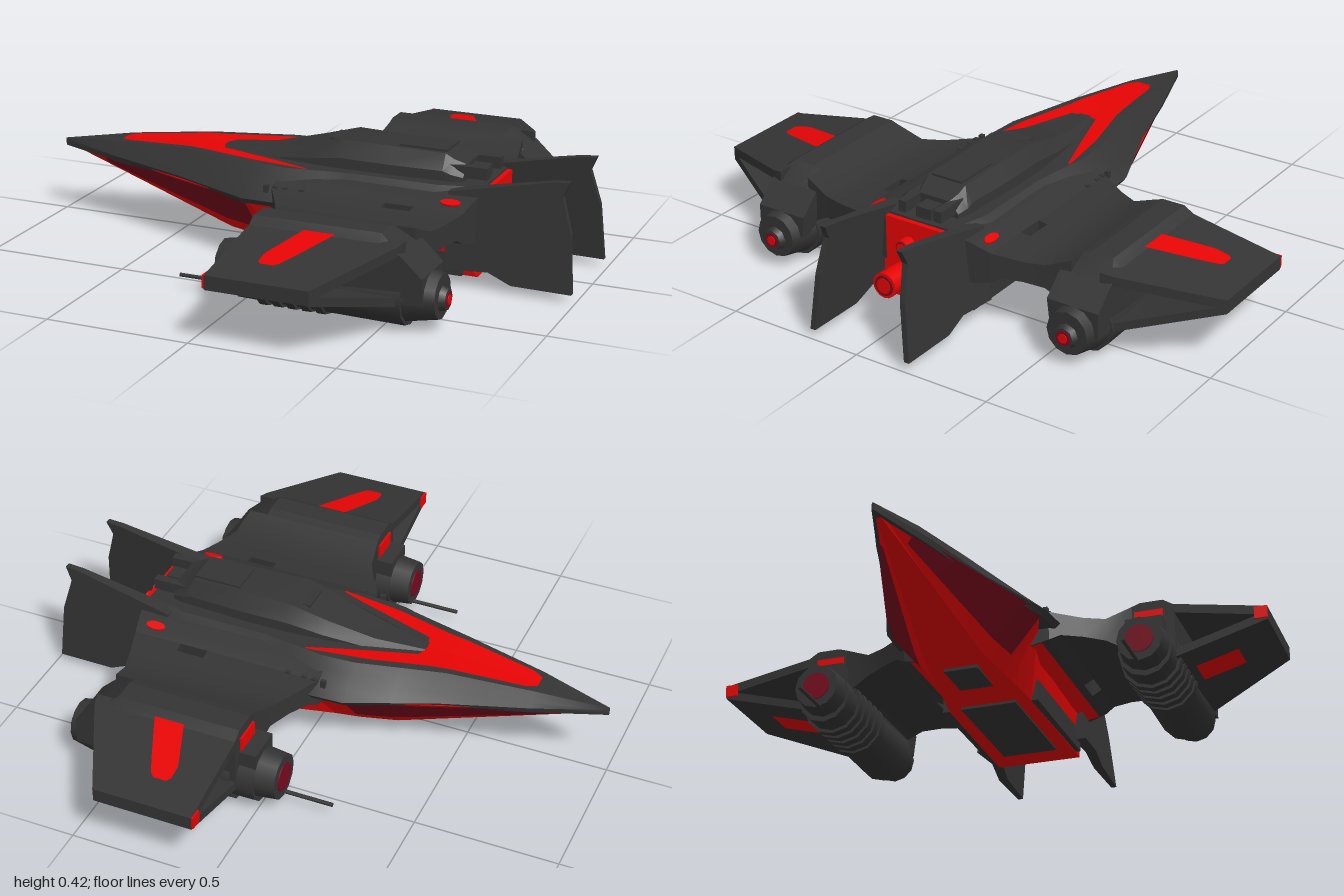
import * as THREE from 'three';
import { toCreasedNormals } from 'three/addons/utils/BufferGeometryUtils.js';

const flat = (name, color) => new THREE.MeshStandardMaterial({ name, color, side: THREE.DoubleSide });

export function createModel() {
  const model = new THREE.Group();
  const grey = flat('charcoal', 0x343434), red = flat('red', 0xff0505), maroon = flat('maroon', 0x780a1e);

  const add = (name, geo, mat) => {
    const mesh = new THREE.Mesh(geo, mat);
    mesh.name = name;
    model.add(mesh);
  };

  // piecewise linear lookup in [[x, value], ...]
  const lerpTable = (t, x) => {
    let i = 0;
    while (i < t.length - 2 && x > t[i + 1][0]) i++;
    const k = THREE.MathUtils.clamp((x - t[i][0]) / (t[i + 1][0] - t[i][0]), 0, 1);
    return t[i][1] + k * (t[i + 1][1] - t[i][1]);
  };

  // closed solid through rings of [x, y, z]; flips itself if inside out
  const loft = (rings, crease = 0.5) => {
    const tris = [], n = rings[0].length, last = rings[rings.length - 1];
    for (let i = 0; i < rings.length - 1; i++) for (let j = 0; j < n; j++) {
      const k = (j + 1) % n, a = rings[i], b = rings[i + 1];
      tris.push([a[j], b[j], b[k]], [a[j], b[k], a[k]]);
    }
    for (const [ring, end] of [[rings[0], false], [last, true]]) {
      const mid = [0, 1, 2].map(c => ring.reduce((s, p) => s + p[c], 0) / n);
      for (let j = 0; j < n; j++) {
        const p = ring[j], q = ring[(j + 1) % n];
        tris.push(end ? [p, q, mid] : [mid, q, p]);
      }
    }
    let vol = 0;
    const v = tris.map(t => t.map(p => new THREE.Vector3(...p)));
    for (const [a, b, c] of v) vol += a.dot(b.clone().cross(c));
    const pos = v.flatMap(t => (vol < 0 ? [t[0], t[2], t[1]] : t));
    return toCreasedNormals(new THREE.BufferGeometry().setFromPoints(pos), crease);
  };

  // open painted surface on side s from a rule (u, v) -> [x, y, z]
  const sided = (s, fn, nu = 1, nv = 1) => {
    const geo = new THREE.PlaneGeometry(1, 1, nu, nv), p = geo.attributes.position;
    for (let i = 0; i < p.count; i++) {
      const [x, y, z] = fn(0.5 + s * p.getX(i), 0.5 - p.getY(i));
      p.setXYZ(i, x, y, s * z);
    }
    geo.computeVertexNormals();
    return geo;
  };

  // cylinder along x
  const rod = (name, r0, r1, x0, x1, y, z, mat, sides = 16) => {
    const geo = new THREE.CylinderGeometry(r1, r0, x1 - x0, sides).rotateZ(-Math.PI / 2);
    add(name, geo.translate((x0 + x1) / 2, y, z), mat);
  };
  const box = (name, x0, x1, y0, y1, z0, z1, mat) => add(name,
    new THREE.BoxGeometry(x1 - x0, y1 - y0, Math.abs(z1 - z0))
      .translate((x0 + x1) / 2, (y0 + y1) / 2, (z0 + z1) / 2), mat);

  // spanwise slab: stations [z, front x, rear x, bottom y, top y]
  const slab = (name, s, stations) => add(name, loft(stations.map(([z, a, b, lo, hi]) =>
    [[a, lo, s * z], [a, hi, s * z], [b, hi, s * z], [b, lo, s * z]])), grey);

  // upper hull: nearly flat top between two ridges, sloping to the chine
  const width = [[-0.99, 0.004], [-0.74, 0.09], [-0.45, 0.175], [-0.15, 0.29], [-0.03, 0.3],
    [0.1, 0.27], [0.2, 0.25], [0.5, 0.25], [0.65, 0.19]];
  const crown = [[-0.99, 0.272], [-0.74, 0.306], [-0.45, 0.33], [-0.15, 0.333], [0.65, 0.333]];
  const chine = [[-0.99, 0.266], [-0.45, 0.248], [-0.15, 0.24], [0.2, 0.25], [0.65, 0.27]];
  const section = [[0, 0.96], [0.625, 1], [1, 0]];
  const deckY = (x, z) => {
    const e = lerpTable(chine, x);
    return e + (lerpTable(crown, x) - e) * lerpTable(section, Math.abs(z) / lerpTable(width, x));
  };
  add('upperHull', loft([-0.99, -0.86, -0.74, -0.6, -0.45, -0.3, -0.15, -0.03, 0.1, 0.2, 0.5, 0.65].map(x => {
    const w = lerpTable(width, x), e = lerpTable(chine, x), ring = [];
    for (let i = -8; i <= 8; i++) ring.push([x, deckY(x, w * i / 8), w * i / 8]);
    return [...ring, [x, e - 0.02, w * 0.95], [x, e - 0.02, -w * 0.95]];
  }), 0.6), grey);

  // lower hull: [x, top half width, top y, bottom half width, bottom y]
  const belly = [[-0.97, 0.008, 0.262, 0.004, 0.252], [-0.65, 0.11, 0.245, 0.05, 0.165],
    [-0.28, 0.235, 0.236, 0.1, 0.062], [-0.15, 0.27, 0.23, 0.12, 0.05],
    [-0.06, 0.23, 0.22, 0.13, 0.045], [0.1, 0.2, 0.22, 0.15, 0.032], [0.5, 0.19, 0.22, 0.155, 0.03],
    [0.65, 0.135, 0.325, 0.155, 0.03]];
  add('lowerHull', loft(belly.map(([x, wt, yt, wb, yb]) =>
    [[x, yt, wt], [x, yb, wb], [x, yb, -wb], [x, yt, -wt]]), 0.2), red);
  const col = (x, c) => lerpTable(belly.map(r => [r[0], r[c]]), x);
  box('bellyPlate', 0.08, 0.54, 0.024, 0.05, -0.1, 0.1, grey);
  box('bellyFrontPlate', -0.2, 0.0, 0.043, 0.06, -0.06, 0.06, grey);

  // dorsal spine: [x, base half width, top half width, top y]
  add('spine', loft([[-0.34, 0.04, 0.02, 0.333], [-0.17, 0.085, 0.05, 0.348], [0.0, 0.11, 0.07, 0.388],
    [0.13, 0.12, 0.08, 0.423], [0.3, 0.12, 0.075, 0.42], [0.5, 0.11, 0.075, 0.418], [0.53, 0.11, 0.07, 0.4],
    [0.57, 0.1, 0.06, 0.385]].map(([x, b, t, y]) => [[x, 0.3, b], [x, 0.3 + (y - 0.3) * 0.55, b * 0.95],
    [x, y, t], [x, y, -t], [x, 0.3 + (y - 0.3) * 0.55, -b * 0.95], [x, 0.3, -b]]), 0.3), grey);
  box('spineHatch', 0.33, 0.5, 0.38, 0.426, -0.06, 0.06, grey);
  box('spineSeam', 0.07, 0.1, 0.4, 0.415, -0.05, 0.05, grey);
  box('rearBulkhead', 0.62, 0.668, 0.06, 0.325, -0.125, 0.125, red);
  box('tailBeam', 0.55, 0.63, 0.33, 0.37, -0.03, 0.03, grey);

  for (const s of [1, -1]) {
    // painted hull markings
    add('chevron', sided(s, (u, v) => {
      const x = -0.745 + 0.78 * u;
      const outer = lerpTable([[-0.745, 0.025], [-0.71, 0.045], [-0.39, 0.096], [-0.18, 0.148], [0.035, 0.178]], x);
      const inner = lerpTable([[-0.34, 0], [-0.33, 0.05], [-0.18, 0.098], [-0.08, 0.13], [0.035, 0.17]], x);
      const z = inner + (outer - inner) * v;
      return [x, deckY(x, z) + 0.002, z];
    }, 60, 6), red);
    add('sidePanel', sided(s, (u, v) => {
      const x = -0.8 + 0.65 * u, k = v * 0.74;
      const z = col(x, 1) + (col(x, 3) - col(x, 1)) * k + 0.004;
      return [x, col(x, 2) + (col(x, 4) - col(x, 2)) * k - 0.002, z];
    }, 20, 2), maroon);
    add('deckSpot', new THREE.CylinderGeometry(0.016, 0.016, 0.009, 16).scale(2.2, 1, 1)
      .rotateX(s * 0.37).translate(0.575, 0.301, s * 0.227), red);
    for (const x of [-0.08, -0.045, -0.01, 0.05]) box('vent', x, x + 0.018, 0.26, 0.29, s * 0.255, s * 0.27, grey);
    box('lowerSidePlate', 0.1, 0.6, 0.032, 0.11, s * 0.13, s * 0.174, grey);

    // inner wing, with a slot through the root
    slab('wingRoot', s, [[0.13, -0.06, 0.66, 0.16, 0.328], [0.2, -0.055, 0.65, 0.165, 0.31], [0.265, -0.05, 0.635, 0.18, 0.285]]);
    slab('wingSlotFront', s, [[0.265, -0.05, 0.36, 0.18, 0.285], [0.3, -0.03, 0.36, 0.2, 0.28]]);
    slab('wingSlotRear', s, [[0.265, 0.46, 0.635, 0.18, 0.285], [0.3, 0.46, 0.625, 0.2, 0.28]]);
    slab('innerWing', s, [[0.3, -0.03, 0.625, 0.2, 0.28], [0.37, 0.01, 0.605, 0.2, 0.272],
      [0.44, 0.045, 0.585, 0.19, 0.272], [0.53, 0.06, 0.57, 0.14, 0.31]]);
    add('wingRootUnderside', sided(s, (u, v) => [-0.05 + 0.68 * u, 0.171 - 0.014 * v, 0.24 - 0.09 * v]), red);

    // outer wing: two thin panels meeting at the tip
    slab('upperWingPanel', s, [[0.64, 0.06, 0.58, 0.27, 0.305], [0.68, 0.06, 0.57, 0.265, 0.297], [1, 0.06, 0.41, 0.205, 0.238]]);
    slab('lowerWingPanel', s, [[0.64, 0.06, 0.58, 0.09, 0.125], [0.68, 0.06, 0.57, 0.1, 0.13], [1, 0.06, 0.41, 0.19, 0.22]]);
    add('upperWingStripe', sided(s, (u, v) => {
      const z = 0.665 + 0.23 * v;
      const a = lerpTable([[0.665, 0.248], [0.83, 0.188], [0.88, 0.188], [0.895, 0.2]], z);
      const b = lerpTable([[0.665, 0.355], [0.83, 0.284], [0.88, 0.26], [0.895, 0.245]], z);
      return [a + (b - a) * u, 0.301 - (z - 0.68) * 0.184, z];
    }, 1, 16), red);
    add('lowerWingStripe', sided(s, (u, v) => {
      const z = 0.87 - 0.15 * v;
      return [0.175 + 0.12 * u, 0.1 + (z - 0.68) * 0.281 - 0.004, z];
    }), red);
    box('wingTipLight', 0.053, 0.06, 0.195, 0.238, s * 0.955, s * 1, red);

    // nacelle and its cowl
    const z = s * 0.587, y = 0.113;
    rod('nacelleBody', 0.095, 0.103, 0.0, 0.58, y, z, grey, 12);
    rod('nacelleIntake', 0.08, 0.088, -0.07, 0.0, 0.125, z, grey, 12);
    rod('intakeDisc', 0.05, 0.05, -0.074, -0.06, 0.125, z, maroon);
    rod('nacelleTail', 0.1, 0.075, 0.56, 0.685, 0.12, z, grey, 12);
    rod('nacelleExhaust', 0.045, 0.035, 0.68, 0.705, 0.113, z, grey, 8);
    rod('exhaustRing', 0.028, 0.028, 0.7, 0.707, 0.113, z, maroon, 8);
    rod('exhaustGlow', 0.017, 0.017, 0.7, 0.71, 0.113, z, red, 8);
    rod('gunBarrel', 0.007, 0.007, -0.24, 0.02, 0.05, z + s * -0.012, grey, 8);
    const outline = [[0.5, 0.12], [0.49, 0.2], [0.49, 0.28], [0.53, 0.31], [0.56, 0.32], [0.64, 0.32], [0.68, 0.295], [0.68, 0.11]];
    add('nacelleCowl', loft([[0.06, 0.32], [0.5, 0.32], [0.575, 0.27], [0.65, 0.2]].map(([x, cap]) =>
      outline.map(([pz, py]) => [x, Math.min(py, cap), s * pz])), 0.3), grey);
    box('cowlFairing', 0.0, 0.07, 0.14, 0.235, s * 0.52, s * 0.65, grey);
    box('cowlFrontPanel', 0.053, 0.06, 0.235, 0.285, s * 0.54, s * 0.64, red);
    for (let i = 0; i < 5; i++) rod('nacelleRib', 0.108, 0.108, 0.08 + i * 0.05, 0.11 + i * 0.05, y, z, grey, 12);

    // tail fins, leaning in toward the top
    const fin = new THREE.Shape([[0.55, 0.06], [0.7, 0.07], [0.78, 0.035], [0.985, 0.03], [0.97, 0.23],
      [0.935, 0.35], [0.957, 0.4], [0.9, 0.395], [0.65, 0.345], [0.55, 0.325]].map(p => new THREE.Vector2(...p)));
    const finGeo = new THREE.ExtrudeGeometry(fin, { depth: 1, bevelEnabled: false });
    const p = finGeo.attributes.position;
    for (let i = 0; i < p.count; i++) {
      const thick = 0.05 - 0.07 * (p.getX(i) - 0.55);
      p.setZ(i, s * (0.187 - 0.1 * (p.getY(i) - 0.03)) + (p.getZ(i) - 0.5) * thick);
    }
    finGeo.computeVertexNormals();
    add('tailFin', finGeo, grey);
    box('tailProng', 0.52, 0.65, 0.345, 0.385, s * 0.055, s * 0.085, grey);

    // engine nozzles: red with a thin dark ring
    for (const [name, r0, r1, x1, ny, nz] of [['mainNozzle', 0.04, 0.045, 0.77, 0.13, 0.06],
      ['upperNozzle', 0.022, 0.026, 0.71, 0.25, 0.032]]) {
      rod(name, r0, r1, 0.65, x1, ny, s * nz, red);
      rod(name + 'Ring', r1 * 0.8, r1 * 0.8, x1 - 0.01, x1 + 0.003, ny, s * nz, maroon);
      rod(name + 'Core', r1 * 0.6, r1 * 0.6, x1 - 0.01, x1 + 0.005, ny, s * nz, red);
    }
  }
  return model;
}
